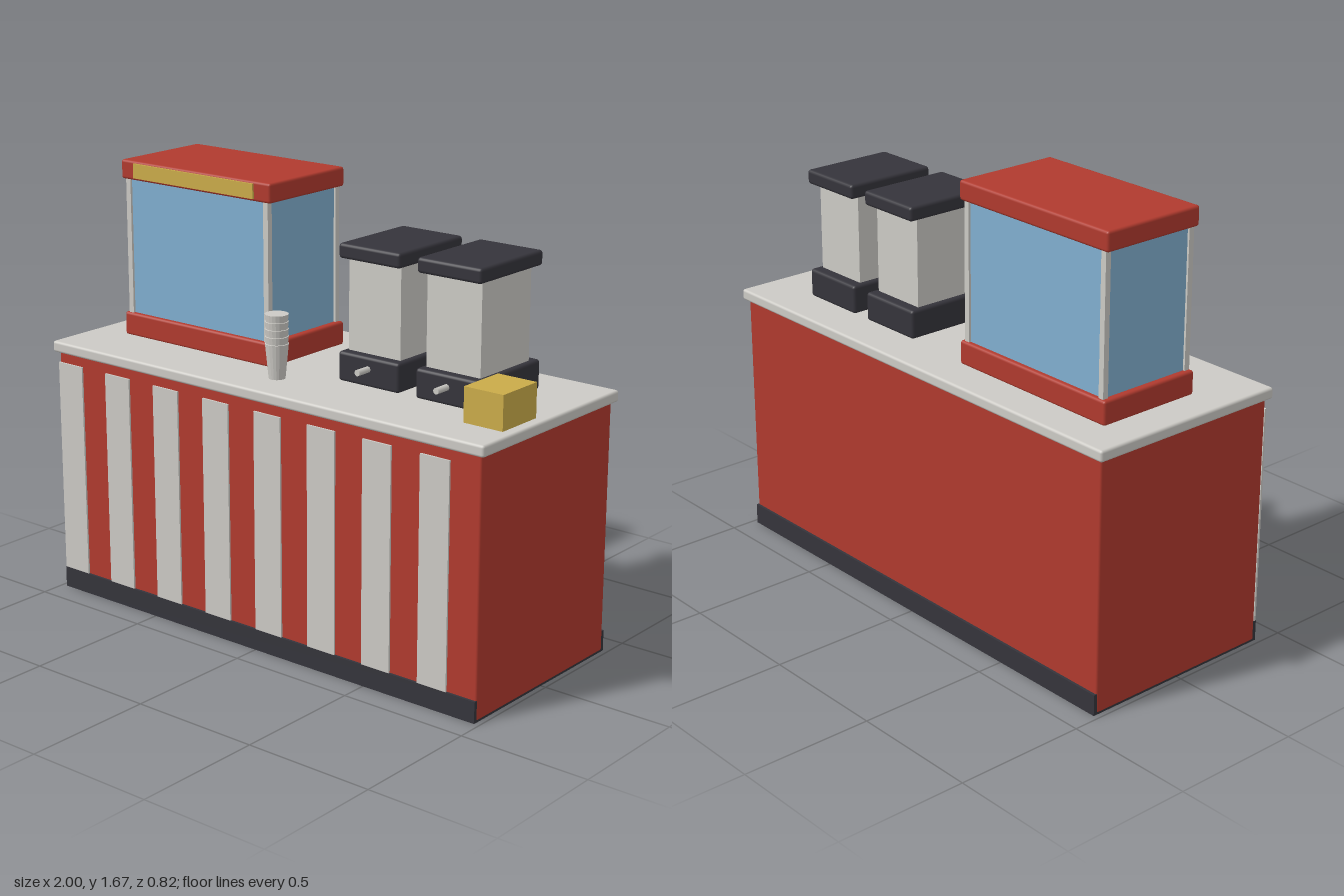
import * as THREE from 'three';
import { RoundedBoxGeometry } from 'three/addons/geometries/RoundedBoxGeometry.js';

const paint = (name, color) => {
  const m = new THREE.MeshStandardMaterial({ color });
  m.name = name;
  return m;
};

export function createModel() {
  const red = paint('red', 0xb03a2e);
  const steel = paint('pale steel', 0xcccac5);
  const dark = paint('charcoal', 0x35343b);
  const gold = paint('gold', 0xcaab49);
  const glass = paint('blue glass', 0x80aecf);

  const stand = new THREE.Group();
  stand.name = 'concessionStand';

  const add = (parent, name, geometry, material) => {
    const mesh = new THREE.Mesh(geometry, material);
    mesh.name = name;
    parent.add(mesh);
    return mesh;
  };
  // Box given by its [min, max] on each axis, with an optional rounded edge
  const box = (parent, name, material, [x0, x1], [y0, y1], [z0, z1], r = 0) => {
    const size = [x1 - x0, y1 - y0, z1 - z0];
    const g = r ? new RoundedBoxGeometry(...size, 2, r) : new THREE.BoxGeometry(...size);
    add(parent, name, g, material)
      .position.set((x0 + x1) / 2, (y0 + y1) / 2, (z0 + z1) / 2);
  };
  const group = (name) => {
    const g = new THREE.Group();
    g.name = name;
    stand.add(g);
    return g;
  };

  // Counter with plinth, worktop and striped front
  const counter = group('counter');
  box(counter, 'cabinet', red, [-0.981, 0.981], [0.004, 0.96], [-0.39, 0.39], 0.008);
  box(counter, 'plinth', dark, [-0.98, 0.98], [0, 0.08], [-0.4, 0.4]);
  box(counter, 'worktop', steel, [-1, 1], [0.95, 0.993], [-0.408, 0.408], 0.01);
  for (let i = 0; i < 8; i++) {
    const x = -0.981 + i * 0.245;
    box(counter, 'frontStripe', steel, [x, x + 0.1225], [0.08, 0.91], [0.389, 0.397]);
  }

  // Glazed popcorn cabinet
  const popper = group('popcornCabinet');
  box(popper, 'popperBase', red, [-0.86, -0.125], [0.99, 1.08], [-0.263, 0.157], 0.01);
  box(popper, 'popperRoof', red, [-0.86, -0.125], [1.595, 1.668], [-0.263, 0.157], 0.01);
  box(popper, 'popperGlass', glass, [-0.835, -0.15], [1.07, 1.6], [-0.245, 0.14]);
  for (const x of [-0.832, -0.153]) {
    for (const z of [-0.243, 0.138]) {
      box(popper, 'cornerPost', steel, [x - 0.011, x + 0.011], [1.07, 1.6], [z - 0.011, z + 0.011]);
    }
  }
  box(popper, 'signPlate', gold, [-0.79, -0.2], [1.605, 1.66], [0.156, 0.165]);

  // Two drink dispensers with taps
  for (const x of [0.295, 0.638]) {
    const dispenser = group('drinkDispenser');
    box(dispenser, 'dispenserBase', dark, [x - 0.135, x + 0.135], [0.99, 1.1], [-0.247, 0.122], 0.012);
    box(dispenser, 'dispenserTank', steel, [x - 0.115, x + 0.115], [1.09, 1.45], [-0.203, 0.085]);
    box(dispenser, 'dispenserLid', dark, [x - 0.135, x + 0.135], [1.437, 1.492], [-0.247, 0.122], 0.012);
    const tap = add(dispenser, 'tap', new THREE.CylinderGeometry(0.012, 0.012, 0.07, 8), steel);
    tap.rotation.x = Math.PI / 2;
    tap.position.set(x, 1.056, 0.148);
  }

  // Stack of nested cups, each rim standing just above the one below
  const profile = [new THREE.Vector2(0, 0.99), new THREE.Vector2(0.03, 0.99)];
  for (let i = 0; i < 5; i++) {
    const rim = 1.122 + i * 0.027;
    profile.push(new THREE.Vector2(0.043, rim));
    if (i < 4) profile.push(new THREE.Vector2(0.04, rim + 0.001));
  }
  profile.push(new THREE.Vector2(0, 1.23));
  const cupGeometry = new THREE.LatheGeometry(profile, 20).toNonIndexed();
  cupGeometry.computeVertexNormals();
  add(stand, 'cupStack', cupGeometry, steel).position.set(-0.022, 0, 0.243);

  // Napkin box
  box(stand, 'napkinBox', gold, [0.8, 0.96], [0.99, 1.12], [0.05, 0.245]);

  return stand;
}
